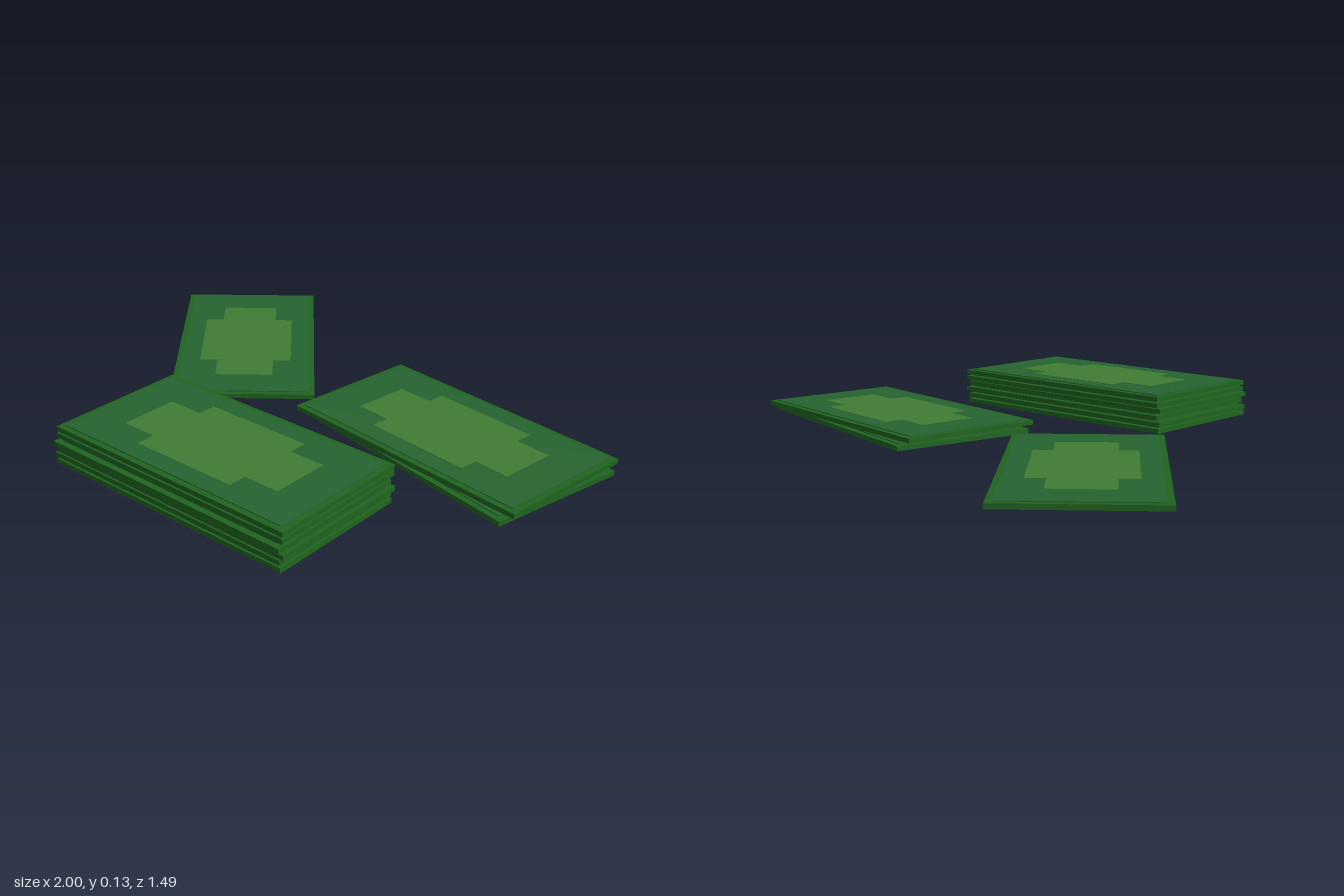
import * as THREE from 'three';

const L = 0.915, W = 0.495, SLAB = 0.016, PITCH = 0.0218;

const rimMat = new THREE.MeshStandardMaterial({ color: 0x1f641f });
const panelMat = new THREE.MeshStandardMaterial({ color: 0x276430 });
const markMat = new THREE.MeshStandardMaterial({ color: 0x3f7b33 });

// Stepped cross: a long low bar with a taller middle block
function crossShape(halfL, halfArm, halfMid, halfH) {
  const quarter = [[halfL, halfArm], [halfMid, halfArm], [halfMid, halfH]];
  const mirrored = quarter.slice().reverse();
  const pts = [
    ...quarter,
    ...mirrored.map(([x, y]) => [-x, y]),
    ...quarter.map(([x, y]) => [-x, -y]),
    ...mirrored.map(([x, y]) => [x, -y]),
  ];
  return new THREE.Shape(pts.map(([x, y]) => new THREE.Vector2(x, y)));
}

const slabGeo = new THREE.BoxGeometry(L, SLAB, W).translate(0, SLAB / 2, 0);
const panelGeo = new THREE.BoxGeometry(L - 0.04, 0.003, W - 0.04).translate(0, SLAB + 0.0015, 0);
const markGeo = new THREE.ExtrudeGeometry(crossShape(0.31, 0.1, 0.187, 0.163), { depth: 0.001, bevelEnabled: false })
  .rotateX(-Math.PI / 2).translate(0, SLAB + 0.003, 0);

function part(name, geo, mat) {
  const mesh = new THREE.Mesh(geo, mat);
  mesh.name = name;
  return mesh;
}

// One banknote bundle: slab, inset top panel and centre mark
function makeBundle() {
  const g = new THREE.Group();
  g.name = 'bundle';
  g.add(part('slab', slabGeo, rimMat), part('topPanel', panelGeo, panelMat), part('centreMark', markGeo, markMat));
  return g;
}

// Layers run bottom to top: [x, z, turn in degrees]
function makeStack(name, layers) {
  const stack = new THREE.Group();
  stack.name = name;
  layers.forEach(([x, z, deg], i) => {
    const b = makeBundle();
    b.position.set(x, i * PITCH, z);
    b.rotation.y = THREE.MathUtils.degToRad(deg);
    stack.add(b);
  });
  return stack;
}

export function createModel() {
  const model = new THREE.Group();
  model.name = 'banknoteStacks';
  model.add(
    makeStack('looseBundle', [[-0.488, -0.27, -38.2]]),
    makeStack('lowStack', [[0.52, -0.34, 0], [0.523, -0.34, 4.4]]),
    makeStack('tallStack', [
      [0.298, 0.398, 11.8], [0.294, 0.398, 11.8], [0.308, 0.396, 11.8],
      [0.302, 0.407, 11.8], [0.297, 0.391, 11.8], [0.297, 0.391, 11.8],
    ]),
  );
  return model;
}
